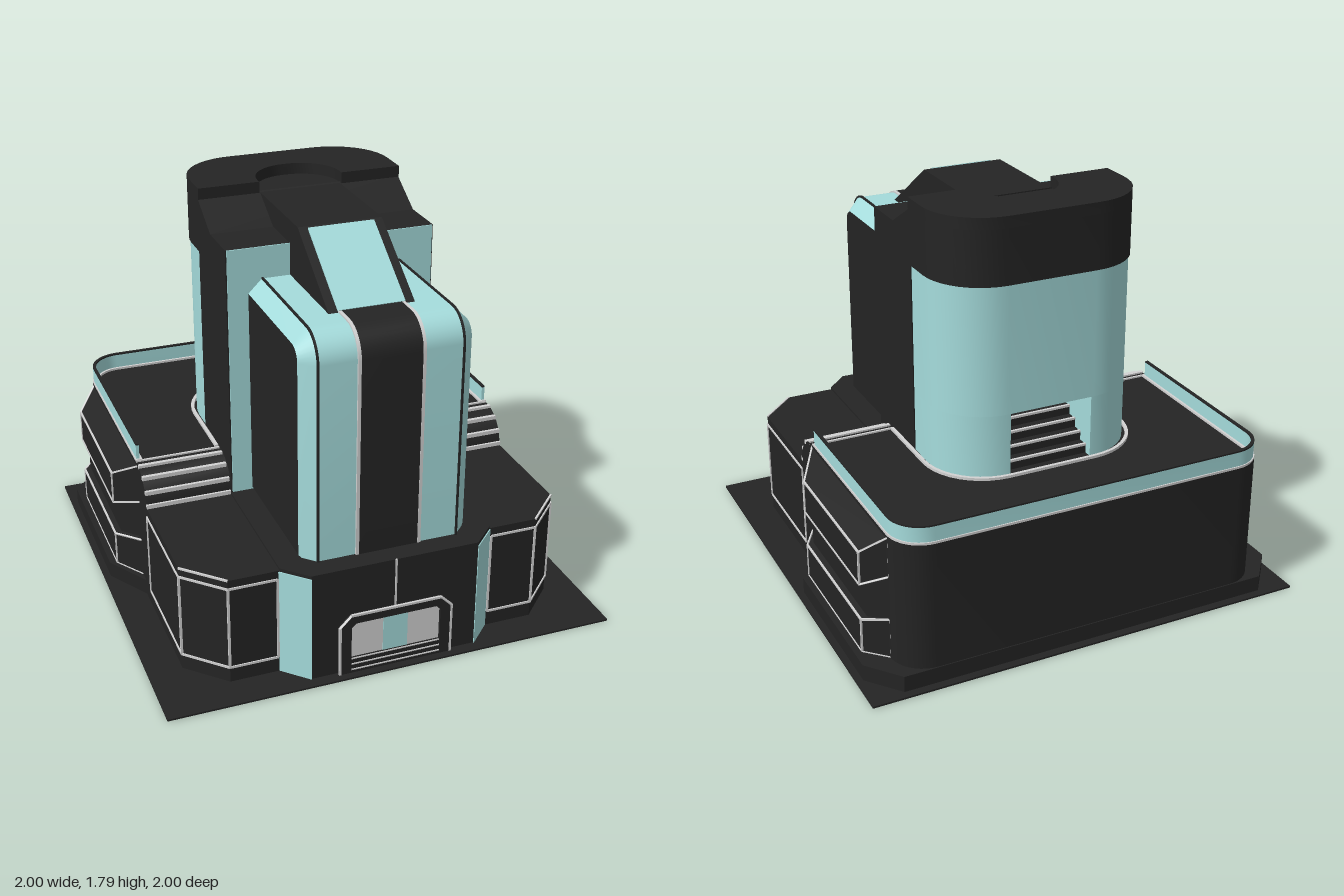
import * as THREE from 'three';
import { toCreasedNormals } from 'three/addons/utils/BufferGeometryUtils.js';
import { ConvexGeometry } from 'three/addons/geometries/ConvexGeometry.js';

const material = (name, color) => {
  const m = new THREE.MeshStandardMaterial({ color });
  m.name = name;
  return m;
};

export function createModel() {
  const dark = material('charcoal', 0x242424);
  const glass = material('paleTealGlass', 0xa5dcdc);
  const light = material('lightTrim', 0xd2d2d2);
  const root = new THREE.Group();
  root.name = 'towerBuilding';

  const add = (name, geometry, mat) => {
    const mesh = new THREE.Mesh(geometry, mat);
    mesh.name = name;
    root.add(mesh);
    return mesh;
  };
  const box = (name, mat, w, h, d, x, y, z) => {
    const mesh = add(name, new THREE.BoxGeometry(w, h, d), mat);
    mesh.position.set(x, y, z);
    return mesh;
  };
  const shapeOf = (pts) => new THREE.Shape(pts.map(([a, b]) => new THREE.Vector2(a, b)));

  // Ground plan of [x, z] points raised from y0 to y1
  const plan = (name, mat, pts, y0, y1) => {
    const g = new THREE.ExtrudeGeometry(shapeOf(pts.map(([x, z]) => [x, -z])), { depth: y1 - y0, bevelEnabled: false });
    g.rotateX(-Math.PI / 2).translate(0, y0, 0);
    return add(name, toCreasedNormals(g, 0.5), mat);
  };
  // Side profile of [z, y] points stretched from x0 to x1
  const profile = (name, mat, pts, x0, x1, bevel = 0) => {
    const g = new THREE.ExtrudeGeometry(shapeOf(pts), {
      depth: x1 - x0, bevelEnabled: bevel > 0, bevelSize: bevel, bevelThickness: bevel, bevelSegments: 1,
    });
    g.rotateY(-Math.PI / 2).translate(x1, 0, 0);
    return add(name, toCreasedNormals(g, 0.5), mat);
  };
  // Thin trim running along a list of 3D points
  const trim = (name, pts, w = 0.01) => {
    for (let i = 0; i + 1 < pts.length; i++) {
      const a = new THREE.Vector3(...pts[i]), b = new THREE.Vector3(...pts[i + 1]);
      const d = b.clone().sub(a);
      const mesh = add(name, new THREE.BoxGeometry(w, w, d.length()), light);
      mesh.position.copy(a).add(b).multiplyScalar(0.5);
      mesh.quaternion.setFromUnitVectors(new THREE.Vector3(0, 0, 1), d.normalize());
    }
  };
  // U-shaped outline with two rounded rear corners, optionally notched at the back
  const uShape = (hx, zf, zb, r, notch = []) => {
    const half = [[hx, zf]];
    for (let i = 0; i <= 10; i++) {
      const t = (i / 10) * Math.PI / 2;
      half.push([hx - r + r * Math.cos(t), zb + r - r * Math.sin(t)]);
    }
    return [...half, ...notch, ...half.map(([x, z]) => [-x, z]).reverse()];
  };
  const band = (name, mat, hx, zf, zb, r, w, y0, y1) =>
    plan(name, mat, [...uShape(hx, zf, zb, r), ...uShape(hx - w, zf, zb + w, r - w).reverse()], y0, y1);
  const mirrored = (pts) => [...pts, ...pts.map(([x, z]) => [-x, z]).reverse()];

  // Ground plate and plinth
  box('groundPlate', dark, 2, 0.008, 2, 0, 0.004, 0);
  plan('plinth', dark, mirrored([[0.85, 0.1], [0.97, -0.1], [0.97, -0.82], [0.85, -0.965]]), 0, 0.08);

  // Podium: chamfered front, rounded rear and entrance block
  plan('frontPodium', dark, mirrored([[0.85, -0.1], [0.85, 0.69], [0.69, 0.85]]), 0, 0.5);
  plan('rearPodium', dark, uShape(0.85, 0.03, -0.96, 0.15), 0, 0.65);
  plan('entranceBlock', dark, mirrored([[0.47, 0.1], [0.47, 0.85], [0.37, 0.95]]), 0, 0.51);

  // Terrace railing and trim around the tower foot
  band('railTrim', light, 0.85, 0.03, -0.96, 0.15, 0.03, 0.65, 0.66);
  band('glassRailing', glass, 0.845, 0.02, -0.955, 0.145, 0.014, 0.66, 0.725);
  band('railCap', dark, 0.845, 0.02, -0.955, 0.145, 0.014, 0.725, 0.732);
  band('towerFootTrim', light, 0.485, 0.02, -0.61, 0.28, 0.015, 0.65, 0.662);

  for (const s of [1, -1]) {
    // Glass on the entrance corners
    const corner = [[0.476, 0.85], [0.37, 0.956], [0.37, 0.95], [0.47, 0.85]];
    plan('entranceCornerGlass', glass, s > 0 ? corner : corner.map(([x, z]) => [-x, z]), 0.008, 0.495);

    // Panel outlines on the front podium
    const foot = [[0.48, 0.85], [0.69, 0.85], [0.85, 0.69], [0.85, 0.19]];
    for (const y of [0.08, 0.46]) trim('podiumTrim', foot.map(([x, z]) => [s * x, y, z]));
    for (const [x, z] of foot) trim('podiumTrim', [[s * x, 0.08, z], [s * x, 0.46, z]]);
    trim('podiumEdgeTrim', [[s * 0.69, 0.5, 0.85], [s * 0.85, 0.5, 0.69]], 0.008);

    // Curved step up to the terrace with light stripes
    const curve = (t) => [0.04 + 0.15 * Math.cos(t), 0.5 + 0.15 * Math.sin(t)];
    const steps = [[0, 0.65], [0, 0.45], [0.19, 0.45]];
    for (let i = 0; i <= 8; i++) steps.push(curve(i * Math.PI / 16));
    profile('terraceStep', dark, steps, s > 0 ? 0.46 : -0.85, s > 0 ? 0.85 : -0.46);
    for (const t of [0.08, 0.48, 0.92, 1.35]) {
      const [z, y] = curve(t);
      box('stepStripe', light, 0.38, 0.018, 0.018, s * 0.66, y, z);
    }
    trim('terraceFrontTrim', [[s * 0.47, 0.652, 0.03], [s * 0.85, 0.652, 0.03]]);

    // Faceted side bays: inner and outer rectangles as [low y, high y]
    for (const [inner, outer] of [[[0.46, 0.64], [0.4, 0.55]], [[0.08, 0.26], [0.08, 0.235]]]) {
      const ring = (x, z0, z1, [y0, y1]) => [[s * x, y0, z0], [s * x, y1, z0], [s * x, y1, z1], [s * x, y0, z1]];
      const a = ring(0.845, 0.05, -0.82, inner), b = ring(0.937, -0.09, -0.73, outer);
      add('sideBay', new ConvexGeometry([...a, ...b].map((p) => new THREE.Vector3(...p))), dark);
      trim('bayTrim', [...b, b[0]], 0.008);
      trim('bayTrim', [b[0], a[0], a[1], b[1]], 0.008);
      trim('bayTrim', [b[3], a[3], a[2], b[2]], 0.008);
    }
    const wall = [[0.84, 0.02], [0.91, -0.09], [0.91, -0.73], [0.84, -0.82]];
    plan('bayBackWall', dark, wall.map(([x, z]) => [s * x, z]), 0.08, 0.46);
  }

  // Front doorway: frame, lit panel, glass door and steps
  const arch = [[-0.25, 0], [-0.25, 0.24], [-0.2, 0.29], [0.2, 0.29], [0.25, 0.24], [0.25, 0]];
  const hole = [[-0.2, 0], [-0.2, 0.23], [-0.18, 0.25], [0.18, 0.25], [0.2, 0.23], [0.2, 0]];
  const frame = new THREE.ExtrudeGeometry(shapeOf([...arch, ...hole.reverse()]), { depth: 0.02, bevelEnabled: false });
  add('doorFrame', frame.translate(0, 0, 0.948), dark);
  trim('doorFrameTrim', arch.map(([x, y]) => [x, y, 0.965]));
  box('doorPanel', light, 0.4, 0.17, 0.006, 0, 0.165, 0.952);
  box('glassDoor', glass, 0.11, 0.17, 0.006, 0, 0.165, 0.954);
  for (let i = 0; i < 3; i++) {
    box('doorStep', dark, 0.4, 0.026, 0.022 - i * 0.004, 0, 0.013 + i * 0.026, 0.957);
    box('doorStepTrim', light, 0.4, 0.005, 0.004, 0, 0.024 + i * 0.026, 0.968 - i * 0.002);
  }
  trim('entranceTrim', [[0, 0.29, 0.95], [0, 0.51, 0.95]], 0.008);

  // Front tower: rounded top edge, glass bevels, dark flanks
  const towerSide = (z1, y1, r, y0 = 0.5) => {
    const pts = [[0.1, y1], [0.1, y0], [z1, y0]];
    for (let i = 0; i <= 8; i++) {
      const t = i * Math.PI / 16;
      pts.push([z1 - r + r * Math.cos(t), y1 - r + r * Math.sin(t)]);
    }
    return pts;
  };
  profile('frontTower', [dark, glass], towerSide(0.795, 1.44, 0.06, 0.52), -0.31, 0.31, 0.06);
  profile('centreStrip', dark, towerSide(0.862, 1.506, 0.125, 0.51), -0.13, 0.13);
  for (const s of [1, -1]) {
    const rib = (name, mat, x, w) => profile(name, mat, towerSide(0.863, 1.507, 0.126, 0.51), s * x - w / 2, s * x + w / 2);
    rib('centreStripTrim', light, 0.137, 0.014);
    rib('towerRib', dark, 0.308, 0.008);
  }

  // Shoulder block with sloped top and glazed front
  profile('shoulderBlock', dark, [[-0.2, 0.5], [0.19, 0.5], [0.19, 1.64], [-0.02, 1.64], [-0.2, 1.745]], -0.465, 0.465);
  box('shoulderGlass', glass, 0.92, 1.14, 0.006, 0, 1.07, 0.192);

  // Rounded rear tower with a recessed doorway, under a dark crown
  const notch = [[0.19, -0.58], [0.19, -0.25], [-0.19, -0.25], [-0.19, -0.58]];
  plan('rearTowerLower', glass, uShape(0.46, -0.19, -0.58, 0.26, notch), 0.65, 0.93);
  plan('rearTower', glass, uShape(0.46, -0.19, -0.58, 0.26), 0.93, 1.5);
  plan('crown', dark, uShape(0.465, -0.19, -0.585, 0.26), 1.5, 1.74);
  band('crownRim', dark, 0.465, -0.185, -0.585, 0.26, 0.275, 1.74, 1.79).visible = false;
  plan('crownParapet', dark, [...uShape(0.465, -0.185, -0.585, 0.26), ...uShape(0.19, -0.185, -0.39, 0.18).reverse()], 1.74, 1.79);
  for (let i = 0; i < 6; i++) {
    const y = 0.69 + i * 0.04, z = -0.52 + i * 0.05;
    box('rearStair', dark, 0.38, y - 0.65, 0.05, 0, (y + 0.65) / 2, z);
    box('rearStairTrim', light, 0.38, 0.01, 0.012, 0, y, z - 0.022);
  }

  // Roof spine with sloped skylight
  profile('roofSpine', dark, [[-0.2, 1.49], [0.66, 1.49], [0.29, 1.74], [-0.2, 1.74]], -0.185, 0.185);
  const skylight = [[0.64, 1.504], [0.643, 1.509], [0.303, 1.739], [0.3, 1.733]];
  profile('skylight', glass, skylight, -0.145, 0.145);
  return root;
}
